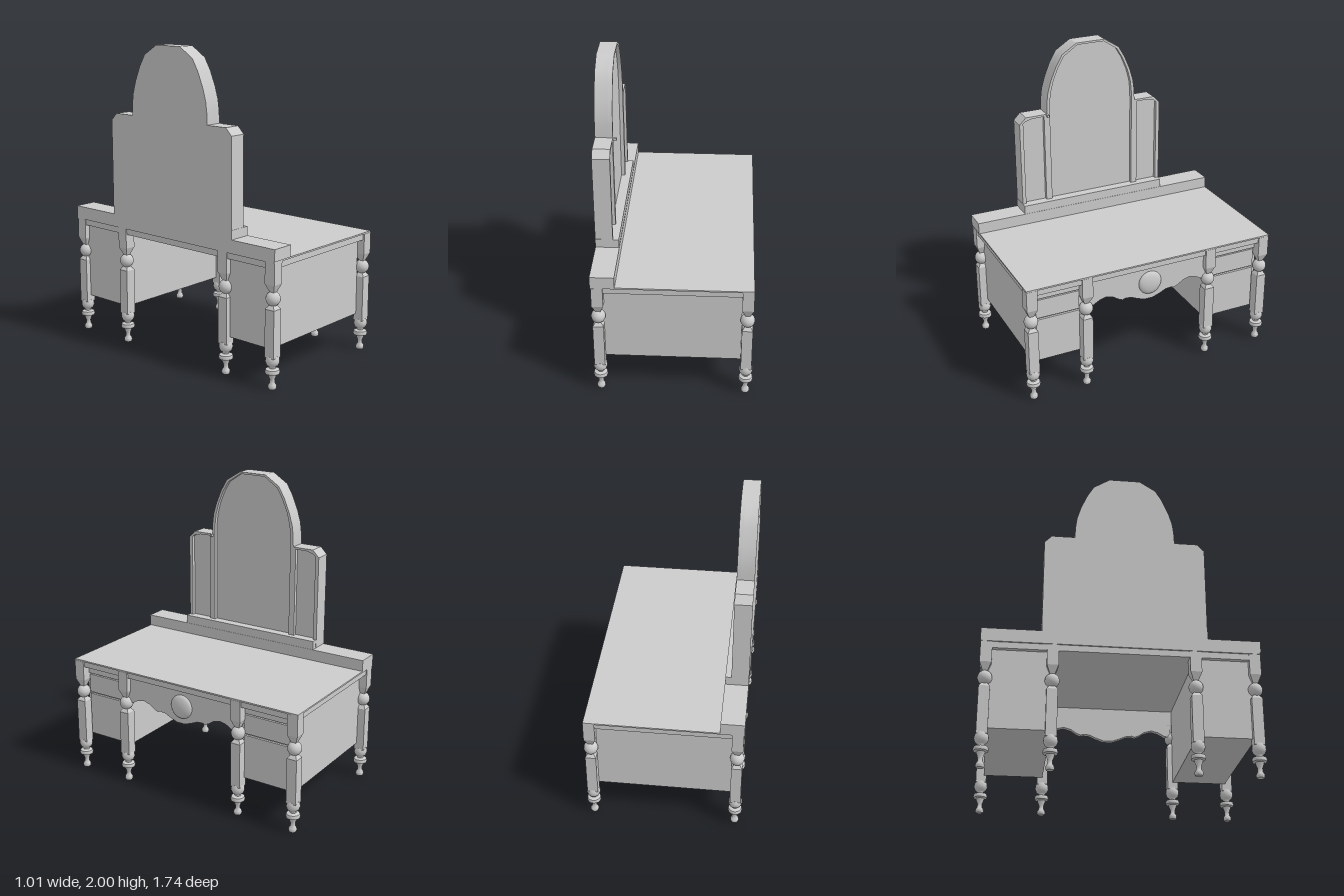
import * as THREE from 'three';
import { toCreasedNormals } from 'three/addons/utils/BufferGeometryUtils.js';

export function createModel() {
  const group = new THREE.Group();
  const mat = new THREE.MeshStandardMaterial({ color: 0xcccccc });
  const flat = new THREE.MeshStandardMaterial({ color: 0xcccccc, flatShading: true });

  function add(name, geo, parent = group, material = mat) {
    const mesh = new THREE.Mesh(geo, material);
    mesh.name = name;
    parent.add(mesh);
    return mesh;
  }
  // Box given by its limits on each axis
  function box(name, x0, x1, y0, y1, z0, z1, parent = group) {
    const mesh = add(name, new THREE.BoxGeometry(x1 - x0, y1 - y0, z1 - z0), parent);
    mesh.position.set((x0 + x1) / 2, (y0 + y1) / 2, (z0 + z1) / 2);
    return mesh;
  }
  const vec = ([x, y]) => new THREE.Vector2(x, y);
  // Outline in the z-y plane, pushed out along +x from x0 to x1
  function plate(name, shape, x0, x1, zc) {
    const geo = new THREE.ExtrudeGeometry(shape, { depth: x1 - x0, bevelEnabled: false, curveSegments: 8 });
    geo.rotateY(Math.PI / 2);
    const mesh = add(name, toCreasedNormals(geo, 0.5));
    mesh.position.set(x0, 0, zc);
    return mesh;
  }
  // Half outline mirrored about the middle
  const mirrored = (half) => [...half, ...half.slice().reverse().map(([x, y]) => [-x, y])].map(vec);

  // Table top, rail and stepped riser
  box('tableTop', -0.5, 0.495, 0.79, 0.8, -0.86, 0.86);
  box('topRail', -0.49, 0.485, 0.75, 0.79, -0.85, 0.85);
  box('riser', -0.5, -0.35, 0.8, 0.875, -0.86, 0.865);
  box('riserStep', -0.5, -0.352, 0.87, 0.933, -0.49, 0.535);

  // Legs: turned foot, square post, ball, square head
  const footProfile = [[0, 0], [0.022, 0], [0.027, 0.012], [0.025, 0.025], [0.016, 0.038], [0.015, 0.06],
    [0.024, 0.085], [0.027, 0.095], [0.044, 0.1], [0.046, 0.112], [0.042, 0.125], [0.02, 0.132], [0.022, 0.142],
    [0.037, 0.155], [0.044, 0.175], [0.042, 0.195], [0.036, 0.21], [0, 0.212]].map(vec);
  const square = (pts) => {
    const geo = new THREE.LatheGeometry(pts.map(([r, y]) => new THREE.Vector2(r * Math.SQRT2, y)), 4);
    return geo.rotateY(Math.PI / 4);
  };
  const footGeo = toCreasedNormals(new THREE.LatheGeometry(footProfile, 16), 0.7);
  const postGeo = square([[0, 0.2], [0.034, 0.2], [0.034, 0.5], [0.016, 0.525], [0, 0.525]]);
  const headGeo = square([[0, 0.6], [0.014, 0.6], [0.036, 0.655], [0.036, 0.79], [0, 0.79]]);
  const ballGeo = new THREE.SphereGeometry(0.045, 20, 14);
  for (const x of [-0.46, 0.46]) {
    for (const z of [0.825, 0.456, -0.42, -0.822]) {
      const leg = new THREE.Group();
      leg.name = x > 0 ? 'frontLeg' : 'backLeg';
      leg.position.set(x, 0, z);
      add('foot', footGeo, leg);
      add('post', postGeo, leg, flat);
      add('ball', ballGeo, leg).position.y = 0.563;
      add('head', headGeo, leg, flat);
      group.add(leg);
    }
  }

  // Drawer pedestals: case limits, then drawer limits in z
  for (const [c0, c1, d0, d1] of [[0.455, 0.81, 0.493, 0.782], [-0.805, -0.42, -0.778, -0.45]]) {
    const pedestal = new THREE.Group();
    pedestal.name = 'pedestal';
    box('case', -0.46, 0.425, 0.245, 0.75, c0, c1, pedestal);
    box('faceRail', 0.42, 0.44, 0.695, 0.75, c0, c1, pedestal);
    box('upperDrawer', 0.42, 0.44, 0.56, 0.687, d0, d1, pedestal);
    box('lowerDrawer', 0.42, 0.44, 0.255, 0.548, d0, d1, pedestal);
    group.add(pedestal);
  }

  // Scalloped apron with a flattened round boss
  const scallop = [[0.43, 0.75], [0.43, 0.565], [0.39, 0.57], [0.345, 0.595], [0.3, 0.606], [0.25, 0.592],
    [0.215, 0.568], [0.185, 0.555], [0.165, 0.562], [0.125, 0.558], [0.08, 0.538], [0.03, 0.52]];
  plate('apron', new THREE.Shape(mirrored(scallop)), 0.425, 0.46, 0.015);
  const boss = add('apronBoss', new THREE.SphereGeometry(0.08, 28, 18));
  boss.scale.x = 0.35;
  boss.position.set(0.462, 0.637, 0.007);

  // Three-part mirror: backing, then a front frame with openings
  const outline = mirrored([[0.513, 0.88], [0.513, 1.5], [0.468, 1.546], [0.321, 1.546], [0.318, 1.62],
    [0.309, 1.69], [0.285, 1.77], [0.247, 1.86], [0.203, 1.935], [0.1, 2]]);
  plate('mirrorBacking', new THREE.Shape(outline), -0.5, -0.415, 0.02);
  const frame = new THREE.Shape(outline);
  const archHole = mirrored([[0.298, 0.92], [0.299, 1.546], [0.297, 1.62], [0.289, 1.69], [0.267, 1.77],
    [0.231, 1.855], [0.19, 1.923], [0.094, 1.987]]);
  const wingHole = [[0.34, 0.92], [0.488, 0.92], [0.488, 1.505], [0.468, 1.52], [0.42, 1.531], [0.34, 1.533]];
  frame.holes.push(new THREE.Path(archHole));
  for (const s of [1, -1]) frame.holes.push(new THREE.Path(wingHole.map(([x, y]) => vec([s * x, y]))));
  plate('mirrorFrame', frame, -0.415, -0.39, 0.02);
  box('mirrorPeg', -0.4, -0.366, 1.53, 1.546, 0.333, 0.345);

  return group;
}
